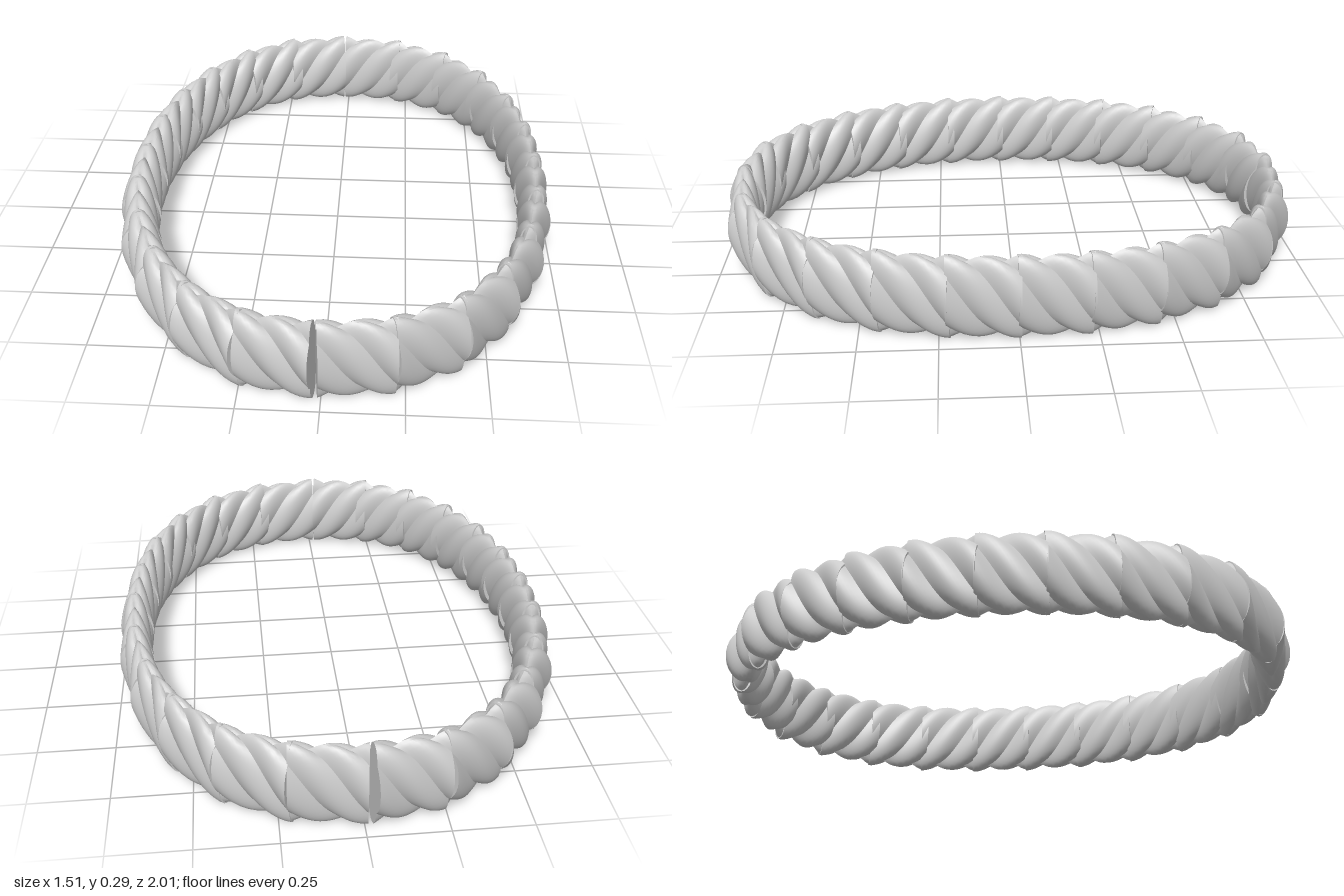
import * as THREE from 'three';
import { toCreasedNormals } from 'three/addons/utils/BufferGeometryUtils.js';

const SEGMENTS = 12;      // fluted links per half ring
const AROUND = 40, ALONG = 20;
const HALF_HEIGHT = 0.145;

// One link: a lens-like bar along x, waisted in the middle,
// whose slanted strands lean the same way on both faces
function linkGeometry(length, halfThick) {
  const pos = [], index = [];
  for (let i = 0; i <= ALONG; i++) {
    const s = i / ALONG;
    const waist = 1 - Math.pow(2 * s - 1, 2);
    for (let j = 0; j <= AROUND; j++) {
      const a = (j / AROUND) * 2 * Math.PI - Math.PI / 2;
      const rise = a <= Math.PI / 2 ? a : Math.PI - a;   // same slope outside and inside
      const groove = 1 - Math.abs(Math.cos(2 * Math.PI * s + 2 * rise));
      const high = HALF_HEIGHT * (1 - 0.04 * waist) * (1 - 0.16 * groove);
      const thick = halfThick * (1 - 0.16 * waist) * (1 - 0.32 * groove);
      pos.push((s - 0.5) * length, Math.sin(a) * high, Math.cos(a) * thick);
    }
  }
  const row = AROUND + 1;
  for (let i = 0; i < ALONG; i++) {
    for (let j = 0; j < AROUND; j++) {
      const p = i * row + j, q = p + row;
      // split each quad along the groove direction
      if (j < AROUND / 2) index.push(p, q, p + 1, q, q + 1, p + 1);
      else index.push(p, q, q + 1, p, q + 1, p + 1);
    }
  }
  // flat end caps
  const c0 = pos.length / 3, c1 = c0 + 1, last = ALONG * row;
  pos.push(-length / 2, 0, 0, length / 2, 0, 0);
  for (let j = 0; j < AROUND; j++) {
    index.push(c0, j, j + 1, c1, last + j + 1, last + j);
  }
  const g = new THREE.BufferGeometry();
  g.setAttribute('position', new THREE.Float32BufferAttribute(pos, 3));
  g.setIndex(index);
  return toCreasedNormals(g, 0.5);
}

// Half of a rounded oval, running from front to back (side +1) or back to front (side -1)
function halfOval(side, width, depth, roundness) {
  const pts = [];
  const power = 2 / roundness;
  for (let i = 0; i <= 48; i++) {
    const t = (i / 48) * Math.PI;
    const c = Math.cos(t);
    const x = Math.pow(Math.max(0, Math.sin(t)), power) * width;
    const z = Math.sign(c) * Math.pow(Math.abs(c), power) * depth;
    pts.push(new THREE.Vector3(side * x, 0, side * z));
  }
  const curve = new THREE.CatmullRomCurve3(pts);
  curve.arcLengthDivisions = 600;
  return curve.getSpacedPoints(SEGMENTS);
}

export function createModel() {
  const model = new THREE.Group();
  model.name = 'flutedOvalBand';
  const material = new THREE.MeshStandardMaterial({ color: 0xcccccc });

  const halves = [
    { name: 'leftHalf', side: 1, shift: -0.005, width: 0.698, thick: 0.058, roundness: 2.28 },
    { name: 'rightHalf', side: -1, shift: -0.03, width: 0.657, thick: 0.068, roundness: 2.12 },
  ];
  for (const h of halves) {
    const half = new THREE.Group();
    half.name = h.name;
    half.position.set(h.shift, 0.147, 0);
    const joints = halfOval(h.side, h.width, 0.935, h.roundness);
    for (let i = 0; i < SEGMENTS; i++) {
      const a = joints[i], b = joints[i + 1];
      const link = new THREE.Mesh(linkGeometry(a.distanceTo(b) + 0.014, h.thick), material);
      link.name = 'flutedLink' + (i + 1);
      link.position.copy(a).add(b).multiplyScalar(0.5);
      // turn the link so its length follows the oval and its +z side faces outward
      link.rotation.y = Math.atan2(-(b.z - a.z), b.x - a.x);
      half.add(link);
    }
    model.add(half);
  }
  return model;
}
